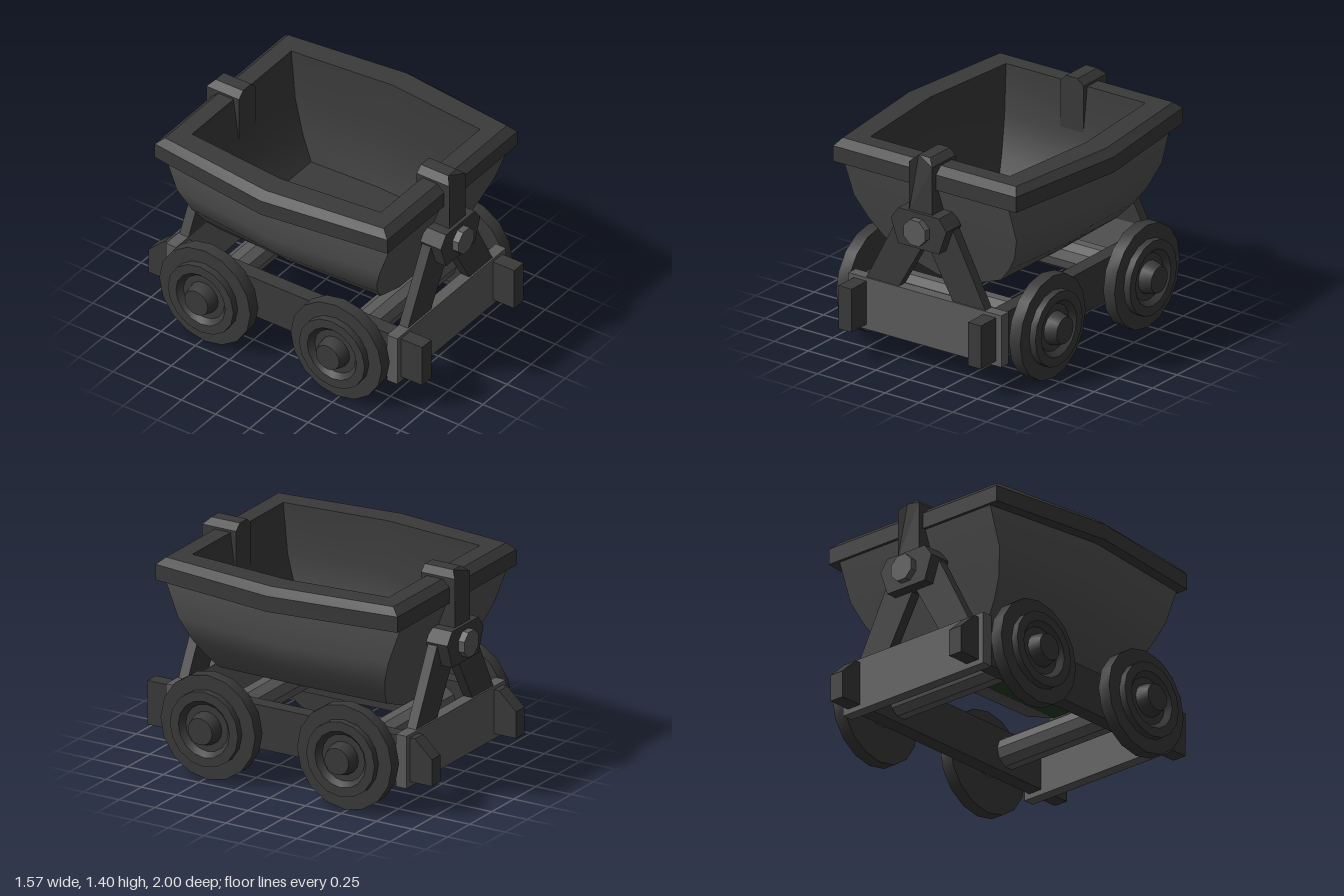
import * as THREE from 'three';
import { toCreasedNormals } from 'three/addons/utils/BufferGeometryUtils.js';

const mat = (name, color) => {
  const m = new THREE.MeshStandardMaterial({ color });
  m.name = name;
  return m;
};

// Stack of six-sided rings; each level is [y, half width at middle, half width at ends, half length]
function loft(levels, capStart, capEnd, crease) {
  const pos = [];
  const rings = levels.map(([y, w, e, z]) =>
    [[w, 0], [e, z], [-e, z], [-w, 0], [-e, -z], [e, -z]].map(([x, d]) => [x, y, d]));
  const tri = (...p) => p.forEach((v) => pos.push(...v));
  for (let k = 0; k < rings.length - 1; k++) {
    for (let i = 0; i < 6; i++) {
      const j = (i + 1) % 6;
      const a = rings[k][i], b = rings[k][j], c = rings[k + 1][j], d = rings[k + 1][i];
      tri(a, c, b);
      tri(a, d, c);
    }
  }
  const last = rings[rings.length - 1];
  for (let i = 1; i < 5; i++) {
    if (capStart) tri(rings[0][0], rings[0][i], rings[0][i + 1]);
    if (capEnd) tri(last[0], last[i + 1], last[i]);
  }
  const g = new THREE.BufferGeometry();
  g.setAttribute('position', new THREE.Float32BufferAttribute(pos, 3));
  return toCreasedNormals(g, crease);
}

// Extrude an outline in x,y between two z values
function slab(points, z0, z1) {
  const shape = new THREE.Shape(points.map(([x, y]) => new THREE.Vector2(x, y)));
  const g = new THREE.ExtrudeGeometry(shape, { depth: z1 - z0, bevelEnabled: false });
  return g.translate(0, 0, z0);
}

export function createModel() {
  const dark = mat('dark iron', 0x3a3a3a);
  const body = mat('bucket steel', 0x555555);
  const light = mat('bright steel', 0x5c5c5c);
  const green = mat('dark green', 0x2a3f28);
  const model = new THREE.Group();
  model.name = 'tippingMineCart';
  const add = (parent, name, geo, material) => {
    const m = new THREE.Mesh(geo, material);
    m.name = name;
    parent.add(m);
    return m;
  };

  // Bucket shell, its underside, and the rim that folds into the interior
  const hull = [[0.5, 0.13, 0.125, 0.55], [0.6, 0.39, 0.375, 0.59], [0.7, 0.51, 0.465, 0.632],
    [0.81, 0.616, 0.54, 0.677], [0.96, 0.683, 0.6, 0.74], [1.2, 0.71, 0.607, 0.83]];
  add(model, 'bucketShell', loft(hull, false, false, 0.5), body);
  add(model, 'bucketUnderside', loft([[0.499, 0.13, 0.125, 0.55], [0.5, 0.13, 0.125, 0.55]], true, false, 0.5), green);
  add(model, 'bucketRim', loft([[1.2, 0.7, 0.6, 0.82], [1.2, 0.785, 0.675, 0.85], [1.3, 0.785, 0.675, 0.85],
    [1.345, 0.73, 0.64, 0.8], [1.345, 0.58, 0.515, 0.69]], false, false, 0.3), dark);
  add(model, 'bucketInterior', loft([[1.345, 0.58, 0.515, 0.69], [1.03, 0.55, 0.494, 0.646],
    [0.82, 0.49, 0.452, 0.56], [0.68, 0.43, 0.41, 0.47]], false, true, 0.5), dark);

  // Side rails, with the top corner cut off at the back
  for (const s of [-1, 1]) {
    const rail = slab([[-1, 0.2], [1, 0.2], [1, 0.37], [0.88, 0.48], [-1, 0.48]], -0.048, 0.048);
    rail.rotateY(Math.PI / 2);
    add(model, 'sideRail', rail, dark).position.x = s * 0.478;
  }

  // Wheel profile: radius, distance from the centre line
  const wheelGeo = toCreasedNormals(new THREE.LatheGeometry([
    [0, 0.597], [0.333, 0.597], [0.333, 0.68], [0.24, 0.68], [0.24, 0.725], [0.18, 0.725],
    [0.15, 0.69], [0.105, 0.69], [0.1, 0.725], [0.085, 0.77], [0, 0.77],
  ].map(([r, h]) => new THREE.Vector2(r, h)), 16).rotateZ(-Math.PI / 2), 0.5);

  // Everything repeated at the front and back ends
  for (const [name, turn] of [['frontEnd', 0], ['backEnd', Math.PI]]) {
    const end = new THREE.Group();
    end.name = name;
    end.rotation.y = turn;
    model.add(end);

    add(end, 'crossBeam', new THREE.BoxGeometry(1.13, 0.335, 0.075).translate(0, 0.3345, 0.808), light);

    // Splayed legs carrying the pivot
    for (const s of [-1, 1]) {
      const pts = [[0.2, 0.96], [0.44, 0.5], [0.2, 0.5], [0.01, 0.83]].map(([x, y]) => [s * x, y]);
      add(end, 'supportLeg', slab(pts, 0.77, 0.835), dark);
    }

    // Pivot plate and bolt
    add(end, 'pivotPlate', slab([[-0.15, 0.82], [0.15, 0.82], [0.205, 0.975], [0.15, 1.05],
      [-0.15, 1.05], [-0.205, 0.975]], 0.76, 0.91), dark);
    const bolt = new THREE.CylinderGeometry(0.087, 0.087, 0.1, 8).rotateX(Math.PI / 2).rotateZ(Math.PI / 8);
    add(end, 'pivotBolt', toCreasedNormals(bolt, 0.3), light).position.set(0, 0.935, 0.903);

    // Strap over the rim, sloped at its outer top edge
    const strap = slab([[-0.085, 1.04], [0.085, 1.04], [0.085, 1.36], [0.042, 1.4],
      [-0.042, 1.4], [-0.085, 1.36]], 0.65, 0.888);
    const p = strap.attributes.position;
    for (let i = 0; i < p.count; i++) {
      if (p.getY(i) > 1.38 && p.getZ(i) > 0.8) p.setZ(i, 0.85);
    }
    strap.computeVertexNormals();
    add(end, 'rimStrap', strap, dark);

    // Axle with a wheel on each side
    const axle = new THREE.CylinderGeometry(0.1, 0.1, 1.2, 10).rotateZ(Math.PI / 2);
    add(end, 'axle', toCreasedNormals(axle, 0.3), light).position.set(0, 0.335, 0.48);
    for (const s of [0, 1]) {
      const wheel = add(end, 'wheel', wheelGeo, dark);
      wheel.position.set(0, 0.333, 0.48);
      wheel.rotation.y = s * Math.PI;
    }
  }
  return model;
}
